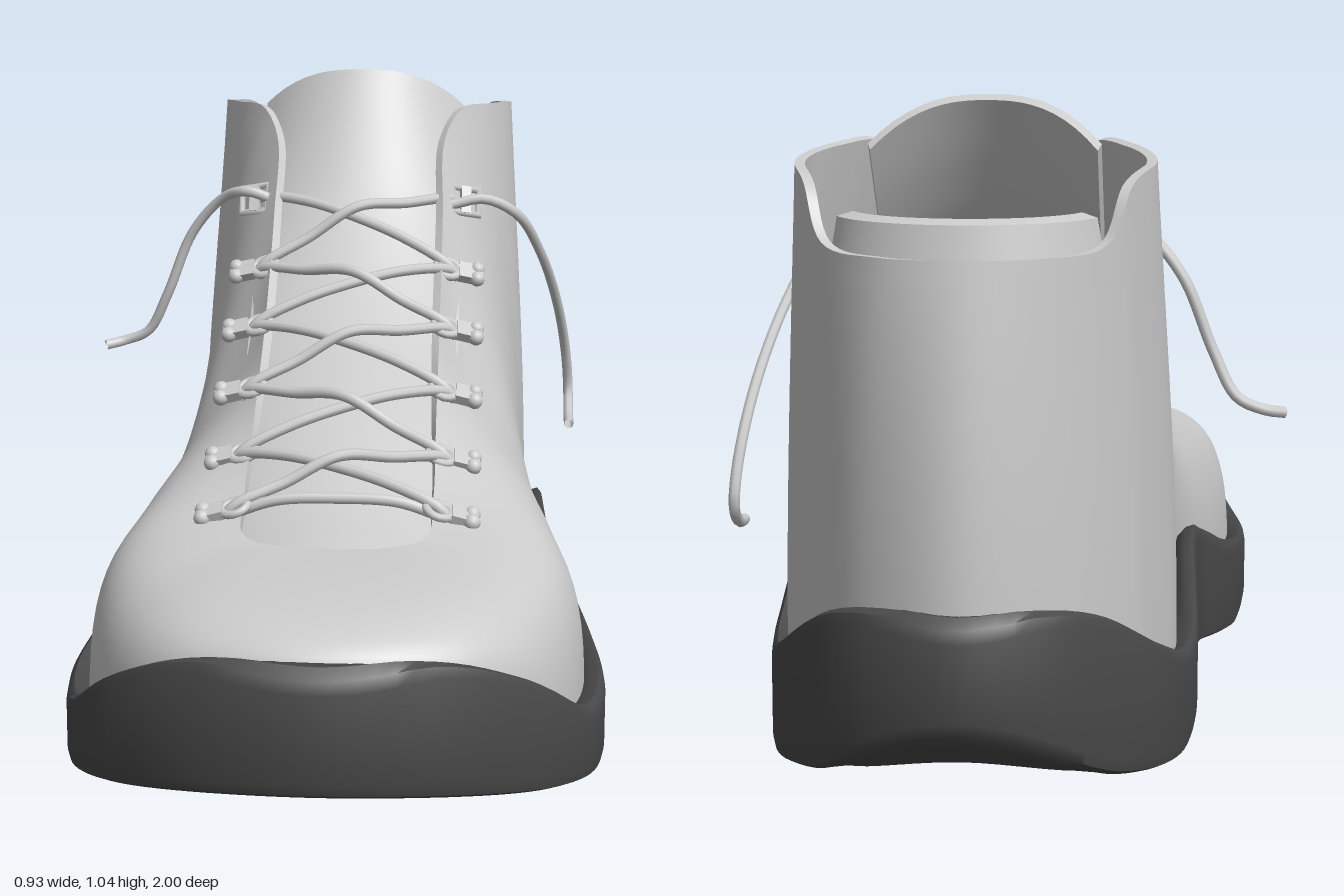
import * as THREE from 'three';
import { toCreasedNormals } from 'three/addons/utils/BufferGeometryUtils.js';

const V = (x, y, z) => new THREE.Vector3(x, y, z);
const grey = new THREE.MeshStandardMaterial({ color: 0xcccccc, side: THREE.DoubleSide });
const dark = new THREE.MeshStandardMaterial({ color: 0x4a4a4a, side: THREE.DoubleSide });

// Smooth height profile y(z) through points sorted by falling z
function profile(pts) {
  const slope = i => {
    const a = pts[Math.max(i - 1, 0)], b = pts[Math.min(i + 1, pts.length - 1)];
    return (b[1] - a[1]) / (b[0] - a[0]);
  };
  return z => {
    z = Math.min(pts[0][0], Math.max(pts[pts.length - 1][0], z));
    let i = 0;
    while (i < pts.length - 2 && z < pts[i + 1][0]) i++;
    const [z0, y0] = pts[i], [z1, y1] = pts[i + 1], h = z1 - z0, t = (z - z0) / h;
    const t2 = t * t, t3 = t2 * t;
    return (2 * t3 - 3 * t2 + 1) * y0 + (t3 - 2 * t2 + t) * h * slope(i)
      + (3 * t2 - 2 * t3) * y1 + (t3 - t2) * h * slope(i + 1);
  };
}

// Skin a stack of point rings
function loft(rings, closed = true) {
  const n = rings[0].length, index = [];
  for (let v = 0; v < rings.length - 1; v++) {
    for (let u = 0; u < (closed ? n : n - 1); u++) {
      const a = v * n + u, b = v * n + (u + 1) % n;
      index.push(a, b, b + n, a, b + n, a + n);
    }
  }
  const g = new THREE.BufferGeometry().setFromPoints(rings.flat());
  g.setIndex(index);
  g.computeVertexNormals();
  return g;
}

// Closed loop from toe round the left side to the heel, mirrored back to the toe
function loop(half) {
  const mirror = half.slice(1, -1).reverse().map(p => V(-p.x, p.y, p.z));
  return new THREE.CatmullRomCurve3([...half, ...mirror], true);
}

function add(parent, name, geometry, material = grey) {
  const m = new THREE.Mesh(geometry, material);
  m.name = name;
  parent.add(m);
  return m;
}

const soleTop = profile([[1, .31], [.95, .325], [.85, .27], [.7, .175], [.6, .152], [.4, .155], [.2, .185], [0, .25],
  [-.15, .285], [-.25, .265], [-.4, .195], [-.55, .175], [-.7, .22], [-.85, .3], [-.95, .33], [-1, .315]]);
const soleBottom = profile([[1, .125], [.8, .07], [.6, .03], [.3, 0], [.2, .01], [0, .04], [-.15, .055],
  [-.3, .045], [-.5, .015], [-.6, .01], [-.8, .04], [-.9, .08], [-1, .15]]);

function makeSole() {
  const outline = loop([[0, 1], [.18, .955], [.32, .85], [.405, .7], [.44, .5], [.425, .3], [.385, .1], [.36, 0],
    [.345, -.2], [.35, -.4], [.345, -.5], [.31, -.68], [.255, -.8], [.15, -.94], [0, -1]]
    .map(([x, z]) => V(x, 0, z))).getSpacedPoints(160).slice(0, 160);
  const ring = (s, y) => outline.map(p => V(p.x * s, y(p.z * s), p.z * s));
  const rings = [];
  for (const s of [.001, .25, .5, .75, .9, .975]) rings.push(ring(s, z => soleBottom(z) + .03 * (1 - s * s)));
  rings.push(ring(.993, z => soleBottom(z) + .006), ring(1, z => soleBottom(z) + .022));
  for (const [s, d] of [[1, .025], [.993, .008], [.975, 0], [.94, .004], [.9, .02]]) rings.push(ring(s, z => soleTop(z) - d));
  // Footbed
  for (const s of [.85, .6, .3, .001]) rings.push(ring(s, () => .17));
  return toCreasedNormals(loft(rings), .7);
}

function makeUpper() {
  // base x, z | edge x, y, z | rise of wall, spread of edge, drop of edge
  const rows = [
    [0, .955, 0, .39, .6, .8, .5, .1], [.22, .895, .09, .39, .59, .85, .5, .1],
    [.345, .75, .145, .395, .55, .9, .55, .12], [.405, .5, .155, .425, .44, .95, .6, .15],
    [.388, .3, .155, .52, .24, .7, .5, .25], [.34, .05, .155, .645, 0, .5, .4, .38],
    [.31, -.15, .155, .8, -.19, .45, .5, .3], [.31, -.3, .155, .92, -.285, .45, .6, .25],
    [.31, -.38, .185, .972, -.35, .4, .7, .25], [.315, -.46, .24, .972, -.45, .35, .75, .3],
    [.31, -.56, .28, .957, -.6, .33, .5, .33], [.275, -.7, .245, .93, -.755, .33, .5, .33],
    [.25, -.76, .212, .85, -.815, .33, .5, .33], [.14, -.905, .12, .838, -.9, .33, .6, .33],
    [0, -.968, 0, .838, -.93, .33, .7, .33]];
  const ctrl = [[], [], [], []];
  for (const [bx, bz, ex, ey, ez, rise, spread, drop] of rows) {
    const by = soleTop(bz) - .03, h = ey - by;
    ctrl[0].push(V(bx, by, bz));
    ctrl[1].push(V(bx, by + rise * h, bz));
    ctrl[2].push(V(ex + (bx - ex) * spread, ey - drop * h, ez + (bz - ez) * spread));
    ctrl[3].push(V(ex, ey, ez));
  }
  const curves = ctrl.map(loop), N = 196, M = 20;
  const rings = Array.from({ length: M + 1 }, () => []);
  for (let u = 0; u < N; u++) {
    const p = curves.map(c => c.getPoint(u / N));
    p[0].y = soleTop(p[0].z) - .03;
    const wall = new THREE.CubicBezierCurve3(...p);
    for (let v = 0; v <= M; v++) rings[v].push(wall.getPoint(v / M));
  }
  // Lining: the same wall moved inwards along its normals
  const nor = loft(rings).attributes.normal;
  const lining = rings.map((r, v) => r.map((p, u) =>
    V().fromBufferAttribute(nor, v * N + u).multiplyScalar(-.016).add(p)));
  return toCreasedNormals(loft([...rings, ...lining.reverse()]), .8);
}

function makeTongue() {
  const spine = new THREE.CatmullRomCurve3([[.35, .66], [.38, .56], [.415, .44], [.515, .24], [.64, 0], [.805, -.19],
    [.925, -.28], [1.045, -.355]].map(([y, z]) => V(0, y, z)));
  const rings = [], n = 20, L = 40;
  for (let v = 0; v <= L; v++) {
    const t = v / L, c = spine.getPoint(t), front = [], back = [];
    for (let i = 0; i <= n; i++) {
      const s = i / n * 2 - 1, k = Math.max(0, (t - .6) / .4);
      const fall = .045 * s * s * (1 - k) + k * .075 * Math.abs(s) ** 2.6;
      const p = V(.188 * s, c.y - fall, c.z - s * s * (.01 + .075 * k));
      front.push(p);
      back.unshift(V(p.x * .97, p.y - .009, p.z - .02));
    }
    rings.push([...front, ...back]);
  }
  const end = rings[L], m = end.length;
  rings.push(end.map((p, i) => p.clone().lerp(end[m - 1 - i], .5)));
  return toCreasedNormals(loft(rings), .8);
}

// Padding inside the heel, standing a little above the collar
function makeHeelPad() {
  const section = [[0, .5], [-.03, .7], [-.035, .885], [-.025, .892], [0, .885], [.015, .8]];
  const rings = section.map(([d, y]) => Array.from({ length: 33 }, (_, i) => {
    const a = (i / 32 - .5) * 2.5;
    return V(Math.sin(a) * (.205 + d), y, -.71 - Math.cos(a) * (.185 + d));
  }));
  return toCreasedNormals(loft(rings, false), .7);
}

const cord = pts => new THREE.TubeGeometry(new THREE.CatmullRomCurve3(pts.map(p => V(...p))), 40, .0095, 8);

export function createModel() {
  const model = new THREE.Group();
  model.name = 'laceUpBoot';
  const boot = new THREE.Group();
  boot.name = 'boot';
  boot.position.x = .03;
  model.add(boot);

  add(boot, 'sole', makeSole(), dark);
  add(boot, 'upper', makeUpper());
  add(boot, 'tongue', makeTongue());
  add(boot, 'heelPad', makeHeelPad());

  // Lace loops: height, depth and tilt of each pair
  const pairs = [[.41, .48, .35], [.462, .32, .48], [.54, .17, .5], [.62, .02, .55], [.7, -.12, .7], [.81, -.25, .95]];
  const frame = new THREE.TorusGeometry(.036, .008, 6, 4).rotateZ(Math.PI / 4).rotateX(-Math.PI / 2);
  const ring = new THREE.TorusGeometry(.019, .007, 8, 16).rotateX(-Math.PI / 2).scale(1.15, 1, 1);
  const tab = new THREE.BoxGeometry(.045, .018, .034);
  const rivet = new THREE.SphereGeometry(.014, 12, 8);
  pairs.forEach(([y, z, tilt], i) => {
    for (const side of [-1, 1]) {
      const eyelet = new THREE.Group();
      eyelet.name = 'eyelet';
      eyelet.position.set(side * .195, y + .004, z);
      eyelet.rotation.set(tilt, 0, -side * .3);
      if (i === 5) {
        add(eyelet, 'laceFrame', frame);
        add(eyelet, 'frameBar', tab).scale.set(.4, .9, 1.6);
      } else {
        add(eyelet, 'laceRing', ring).position.x = -side * .03;
        add(eyelet, 'eyeletTab', tab).position.x = side * .012;
        for (const s of [-1, 1]) add(eyelet, 'rivet', rivet).position.set(side * .025, .002, s * .011);
      }
      boot.add(eyelet);
    }
  });

  // Laces: one bar at the bottom, then a crossing between each two pairs
  const laces = new THREE.Group();
  laces.name = 'laces';
  boot.add(laces);
  const [y0, z0] = pairs[0];
  add(laces, 'laceBar', cord([[-.175, y0, z0], [-.1, y0 + .025, z0], [0, y0 + .03, z0], [.1, y0 + .025, z0], [.175, y0, z0]]));
  for (let i = 0; i < 5; i++) {
    const [ya, za] = pairs[i], [yb, zb] = pairs[i + 1];
    for (const side of [-1, 1]) {
      const over = side === (i % 2 ? 1 : -1) ? .022 : 0;
      const at = (t, lift) => [side * .175 * (1 - 2 * t), ya + (yb - ya) * t + lift, za + (zb - za) * t + lift * .5];
      add(laces, 'laceCrossing', cord([at(-.03, -.004), at(.03, .016), at(.25, .035), at(.5, .04 + over), at(.75, .035), at(.97, .014), at(1.03, -.004)]));
    }
  }
  add(laces, 'rightLooseEnd', cord([[-.16, .815, -.24], [-.21, .83, -.24], [-.26, .81, -.28], [-.32, .74, -.305],
    [-.37, .62, -.315], [-.41, .545, -.33], [-.455, .525, -.335], [-.49, .518, -.32]]));
  add(laces, 'leftLooseEnd', cord([[.17, .81, -.23], [.23, .82, -.24], [.29, .79, -.26], [.335, .71, -.33],
    [.375, .58, -.44], [.395, .46, -.51], [.4, .39, -.525], [.4, .355, -.48], [.4, .348, -.43]]));
  return model;
}
